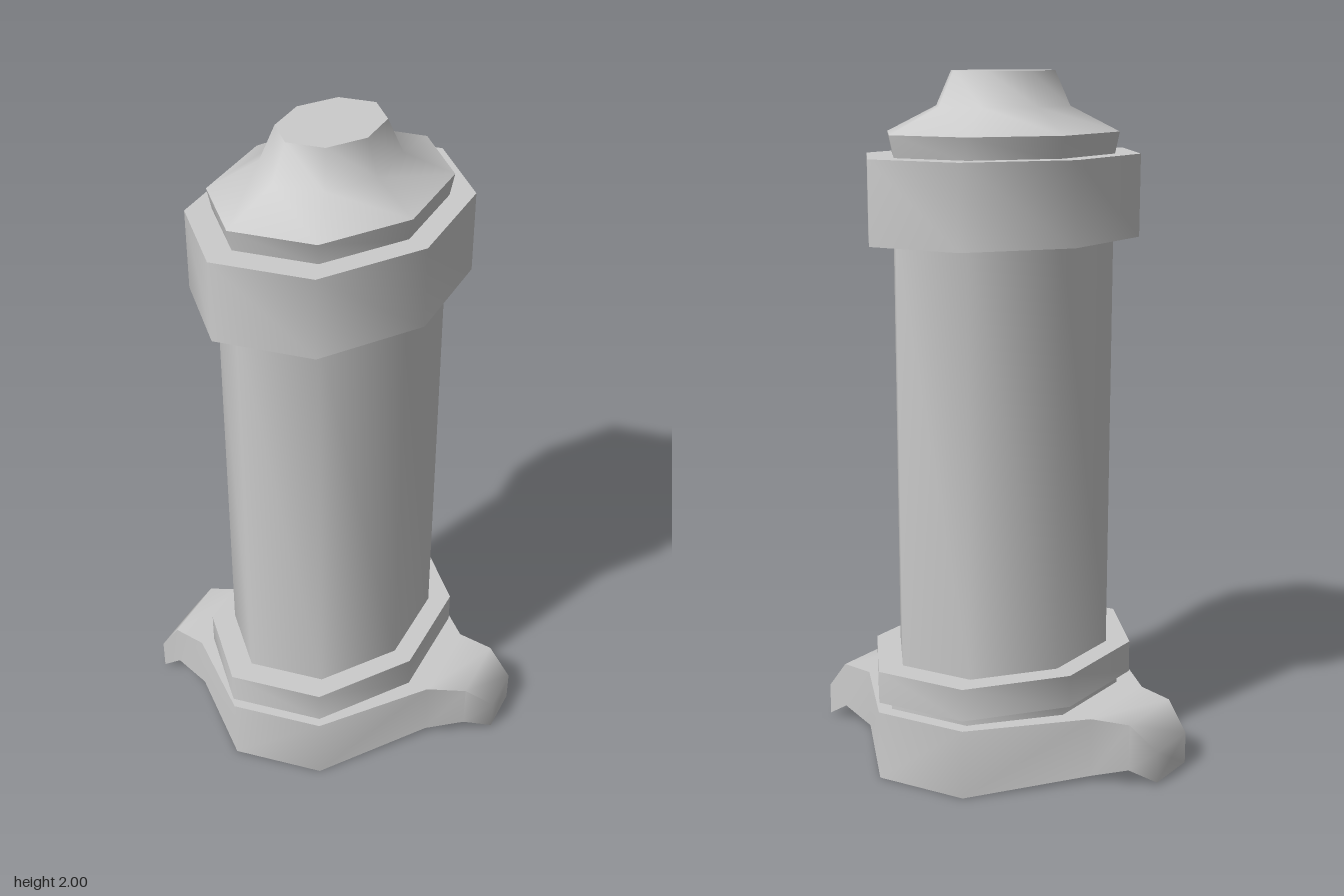
import * as THREE from 'three';
import { toCreasedNormals } from 'three/addons/utils/BufferGeometryUtils.js';

// Skewed octagonal plan shared by all stacked parts, [x, z] about its own centre
const PLAN = [[-0.132, -0.37], [0.138, -0.413], [0.32, -0.21], [0.32, 0.11],
  [0.138, 0.367], [-0.136, 0.41], [-0.32, 0.21], [-0.32, -0.11]];
const CENTRE_X = -0.01;

// Closed skin over a list of rings with equal point counts, capped at both ends
function loft(rings) {
  const n = rings[0].length, pos = rings.flat(2), index = [];
  for (let r = 0; r < rings.length - 1; r++) {
    for (let i = 0; i < n; i++) {
      const j = (i + 1) % n, a = r * n + i, b = r * n + j;
      index.push(a, a + n, b + n, a, b + n, b);
    }
  }
  const addCap = (r, flip) => {
    const c = pos.length / 3;
    for (let k = 0; k < 3; k++) pos.push(rings[r].reduce((s, p) => s + p[k], 0) / n);
    for (let i = 0; i < n; i++) {
      const a = r * n + i, b = r * n + (i + 1) % n;
      if (flip) index.push(c, b, a); else index.push(c, a, b);
    }
  };
  addCap(0, false);
  addCap(rings.length - 1, true);
  const g = new THREE.BufferGeometry();
  g.setAttribute('position', new THREE.Float32BufferAttribute(pos, 3));
  g.setIndex(index);
  return toCreasedNormals(g, 1.05);
}

// Upright part from a profile of [plan scale, height]
const stack = (profile) => loft(profile.map(([s, y]) =>
  PLAN.map(([x, z]) => [CENTRE_X + x * s, y, z * s])));

export function createModel() {
  const group = new THREE.Group();
  const material = new THREE.MeshStandardMaterial({ color: 0xcccccc });
  const add = (name, geometry) => {
    const mesh = new THREE.Mesh(geometry, material);
    mesh.name = name;
    group.add(mesh);
  };

  // Base with two hooked wings, sections along x: [x, zBack, zFront, yBottom, yTop]
  const sections = [
    [-0.54, 0.03, 0.19, 0.005, 0.10],
    [-0.48, -0.03, 0.19, 0.05, 0.19],
    [-0.375, -0.07, 0.21, 0.017, 0.195],
    [-0.142, -0.37, 0.41, 0, 0.205],
    [0.128, -0.413, 0.367, 0, 0.205],
    [0.357, -0.195, 0.075, 0.017, 0.195],
    [0.466, -0.185, 0.025, 0.05, 0.19],
    [0.537, -0.18, 0.04 - 0.08, 0.005, 0.10],
  ];
  add('wingedBase', loft(sections.map(([x, zb, zf, y0, y1]) =>
    [[x, y1, zf], [x, y1, zb], [x, y0, zb], [x, y0, zf]])));

  // Stacked column parts
  add('neck', stack([[0.9, 0.18], [0.9, 0.24]]));
  add('lowerCollar', stack([[0.995, 0.235], [0.995, 0.33]]));
  add('shaft', stack([[0.81, 0.32], [0.81, 1.56]]));
  add('upperCollar', stack([[1, 1.545], [1, 1.775]]));

  // Flared cap with a blunt tip
  add('cap', stack([[0.81, 1.77], [0.845, 1.835], [0.485, 1.905], [0.375, 2]]));

  return group;
}
